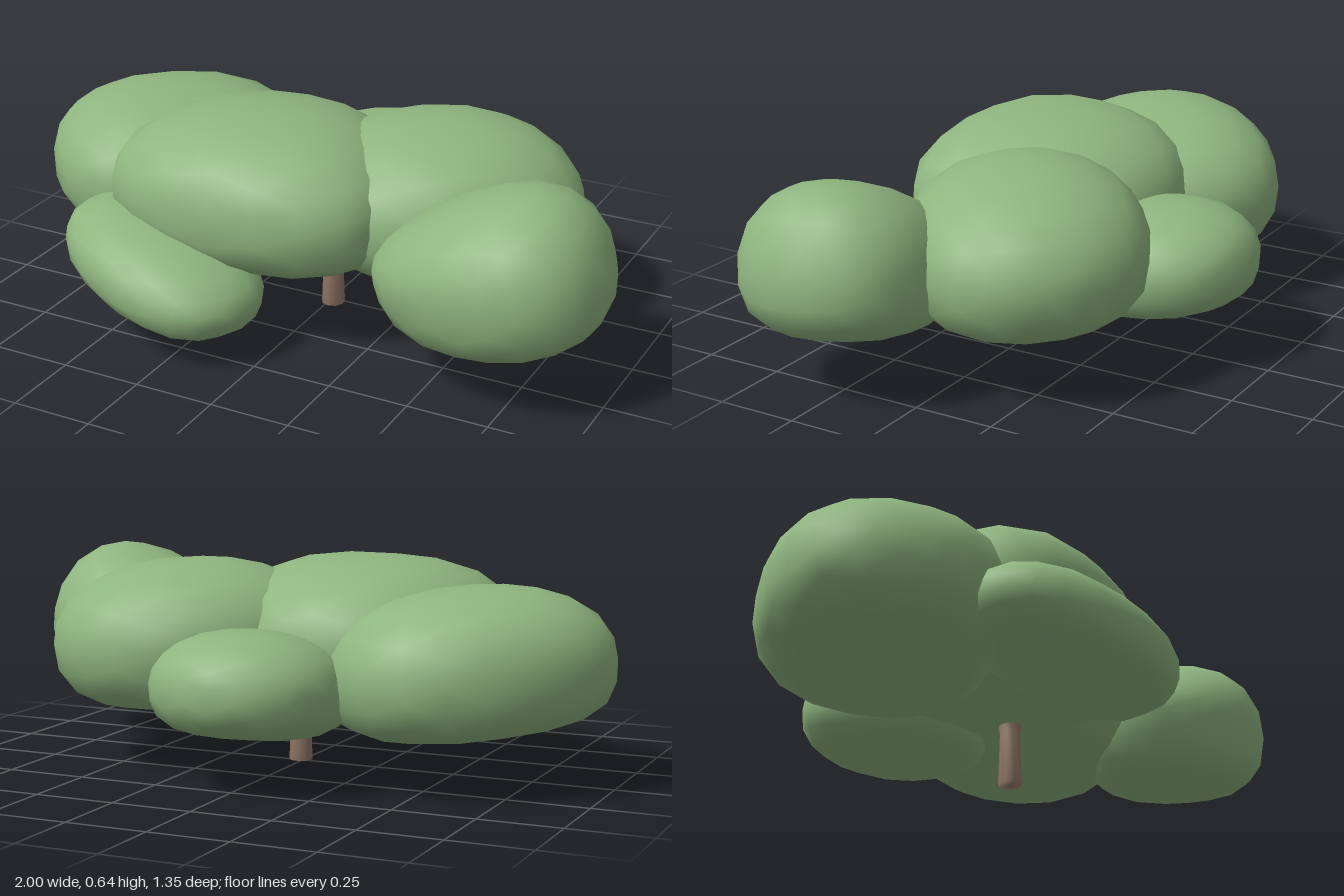
import * as THREE from 'three';
import { mergeVertices } from 'three/addons/utils/BufferGeometryUtils.js';

const deg = Math.PI / 180;

// Full, rounded dome with a flattened underside, tilted, then placed between two corners.
// rise makes it taller towards +x, flare deeper towards +x, widen wider towards +z.
function foliageGeometry({ min, max, size, tilt, fullness = 2.2, under = 0.78, rise = 0, flare = 0, widen = 0 }) {
  let geo = new THREE.IcosahedronGeometry(1, 3);
  geo.deleteAttribute('uv');
  geo.deleteAttribute('normal');
  geo = mergeVertices(geo, 1e-4);
  const pos = geo.attributes.position;
  const v = new THREE.Vector3();
  for (let i = 0; i < pos.count; i++) {
    v.fromBufferAttribute(pos, i);
    const sum = v.toArray().reduce((t, c) => t + Math.abs(c) ** fullness, 0);
    v.multiplyScalar(sum ** (-1 / fullness));
    if (v.y < 0) v.y = -under * (1 - Math.max(0, 1 + v.y) ** 1.6);
    else v.y *= 1 + rise * v.x;
    v.z *= 1 + flare * v.x;
    v.x *= 1 + widen * v.z;
    pos.setXYZ(i, v.x, v.y, v.z);
  }
  geo.scale(...size);
  geo.rotateY(tilt[1] * deg);
  geo.rotateX(tilt[0] * deg);
  geo.rotateZ(tilt[2] * deg);
  geo.computeBoundingBox();
  const { min: a, max: b } = geo.boundingBox;
  const s = [0, 1, 2].map(k => (max[k] - min[k]) / (b.getComponent(k) - a.getComponent(k)));
  geo.translate(-a.x, -a.y, -a.z);
  geo.scale(...s);
  geo.translate(...min);
  geo.computeVertexNormals();
  return geo;
}

export function createModel() {
  const group = new THREE.Group();
  const leaf = new THREE.MeshStandardMaterial({ color: 0x8fb57f });
  leaf.name = 'leafGreen';
  const bark = new THREE.MeshStandardMaterial({ color: 0x967b6a });
  bark.name = 'barkBrown';

  // Foliage clumps
  const clumps = {
    frontFoliage: { min: [-0.635, 0.185, -0.34], max: [0.29, 0.645, 0.475], size: [0.45, 0.27, 0.42], tilt: [-4, 0, 0], widen: 0.2, fullness: 2.4 },
    backLeftFoliage: { min: [-0.1, 0.175, -0.5], max: [0.75, 0.635, 0.285], size: [0.45, 0.27, 0.39], tilt: [0, 43, -2] },
    rightFoliage: { min: [-1, 0.14, -0.5], max: [-0.16, 0.59, 0.32], size: [0.47, 0.26, 0.4], tilt: [0, 45, -5], fullness: 2.35 },
    frontLeftFoliage: { min: [0.29, 0.14, -0.03], max: [1, 0.63, 0.555], size: [0.36, 0.26, 0.29], tilt: [5, 0, 9], rise: 0.4, flare: 0.18, under: 0.85 },
    backFoliage: { min: [-0.3, 0.135, -0.675], max: [0.285, 0.465, -0.08], size: [0.3, 0.19, 0.3], tilt: [7, 0, 0], under: 0.85 },
    lowFrontFoliage: { min: [-0.71, 0.08, 0.14], max: [-0.02, 0.38, 0.67], size: [0.37, 0.16, 0.25], tilt: [5, -22, -13], fullness: 2.3 },
  };
  for (const [name, shape] of Object.entries(clumps)) {
    const mesh = new THREE.Mesh(foliageGeometry(shape), leaf);
    mesh.name = name;
    group.add(mesh);
  }

  // Trunk, slightly waisted and flaring into the foliage
  const profile = [[0, 0], [0.037, 0], [0.031, 0.17], [0.04, 0.21], [0.05, 0.28], [0, 0.28]];
  const trunk = new THREE.Mesh(
    new THREE.LatheGeometry(profile.map(p => new THREE.Vector2(...p)), 9), bark);
  trunk.name = 'trunk';
  trunk.position.set(0.012, 0, 0.014);
  group.add(trunk);

  return group;
}
